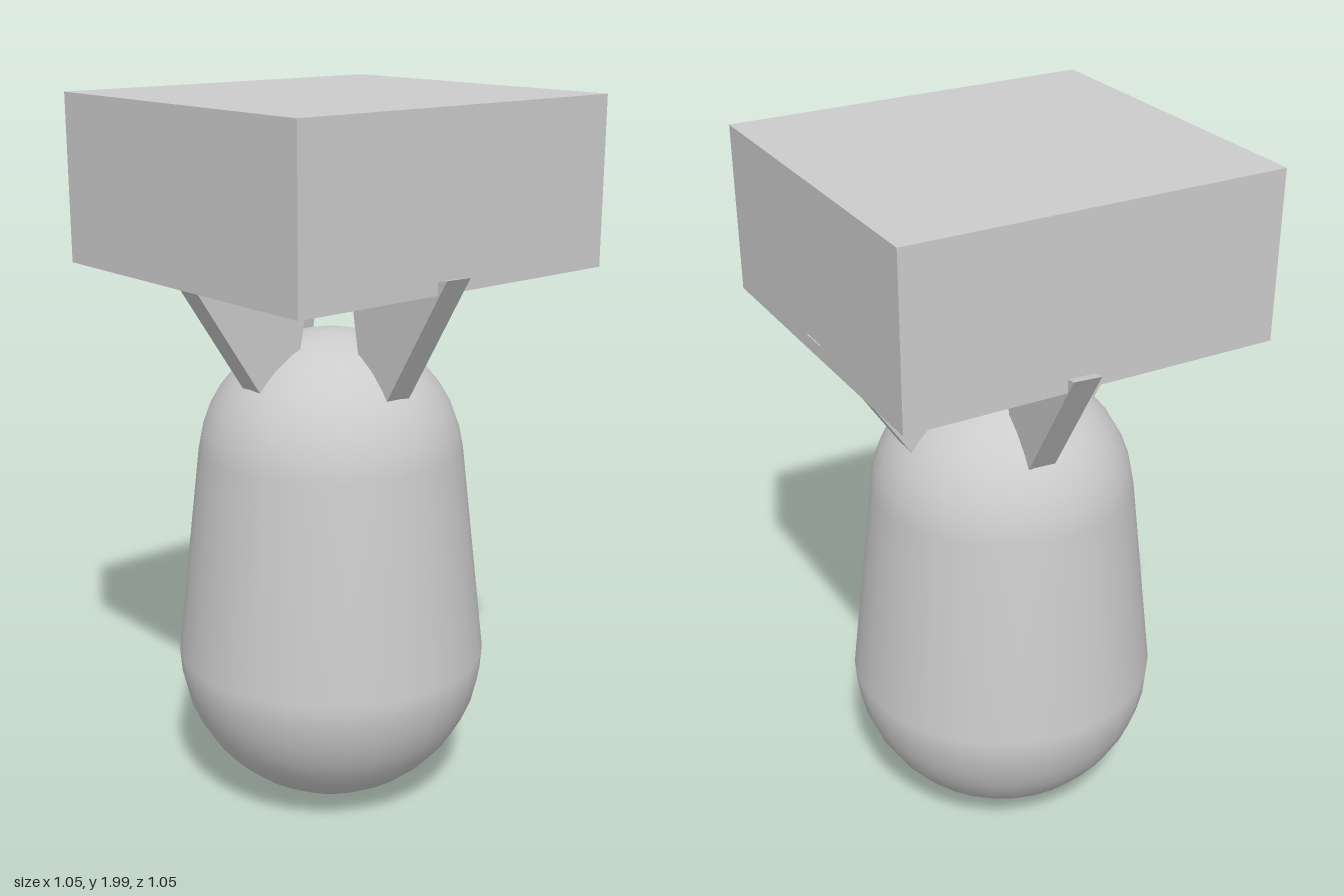
import * as THREE from 'three';

export function createModel() {
  const model = new THREE.Group();
  const material = new THREE.MeshStandardMaterial({ color: 0xcccccc });
  const add = (name, geometry, x = 0, y = 0, z = 0) => {
    const mesh = new THREE.Mesh(geometry, material);
    mesh.name = name;
    mesh.position.set(x, y, z);
    model.add(mesh);
    return mesh;
  };

  // Body: large round nose below, tapering to a smaller dome above
  const profile = [];
  const arc = (radius, centreY, from, to, steps) => {
    for (let i = 0; i <= steps; i++) {
      const a = from + (to - from) * i / steps;
      profile.push(new THREE.Vector2(Math.max(0, radius * Math.cos(a)), centreY + radius * Math.sin(a)));
    }
  };
  arc(0.437, 0.443, -Math.PI / 2, 0, 10);
  arc(0.371, 0.999, 0.11, Math.PI / 2, 9);
  add('body', new THREE.LatheGeometry(profile, 32), 0, 0, 0.015);

  // Square tail block
  add('tailBlock', new THREE.BoxGeometry(0.975, 0.455, 1.043), -0.0025, 1.7725, 0.001);

  // Four slanted fins joining the dome to the block
  const thickness = 0.075;
  const finShape = new THREE.Shape([
    [0.525, 1.587], [0.125, 1.507], [0.19, 1.18], [0.255, 1.18],
  ].map(([x, y]) => new THREE.Vector2(x, y)));
  const finGeometry = new THREE.ExtrudeGeometry(finShape, { depth: thickness, bevelEnabled: false });
  finGeometry.translate(0, 0, -thickness / 2);
  const yaw = 0.09; // the side fins are slightly turned
  const fins = { leftFin: -yaw, backFin: Math.PI / 2, rightFin: Math.PI - yaw, frontFin: -Math.PI / 2 };
  for (const [name, angle] of Object.entries(fins)) {
    add(name, finGeometry).rotation.y = angle;
  }
  model.getObjectByName('frontFin').position.z = -0.005;
  return model;
}
